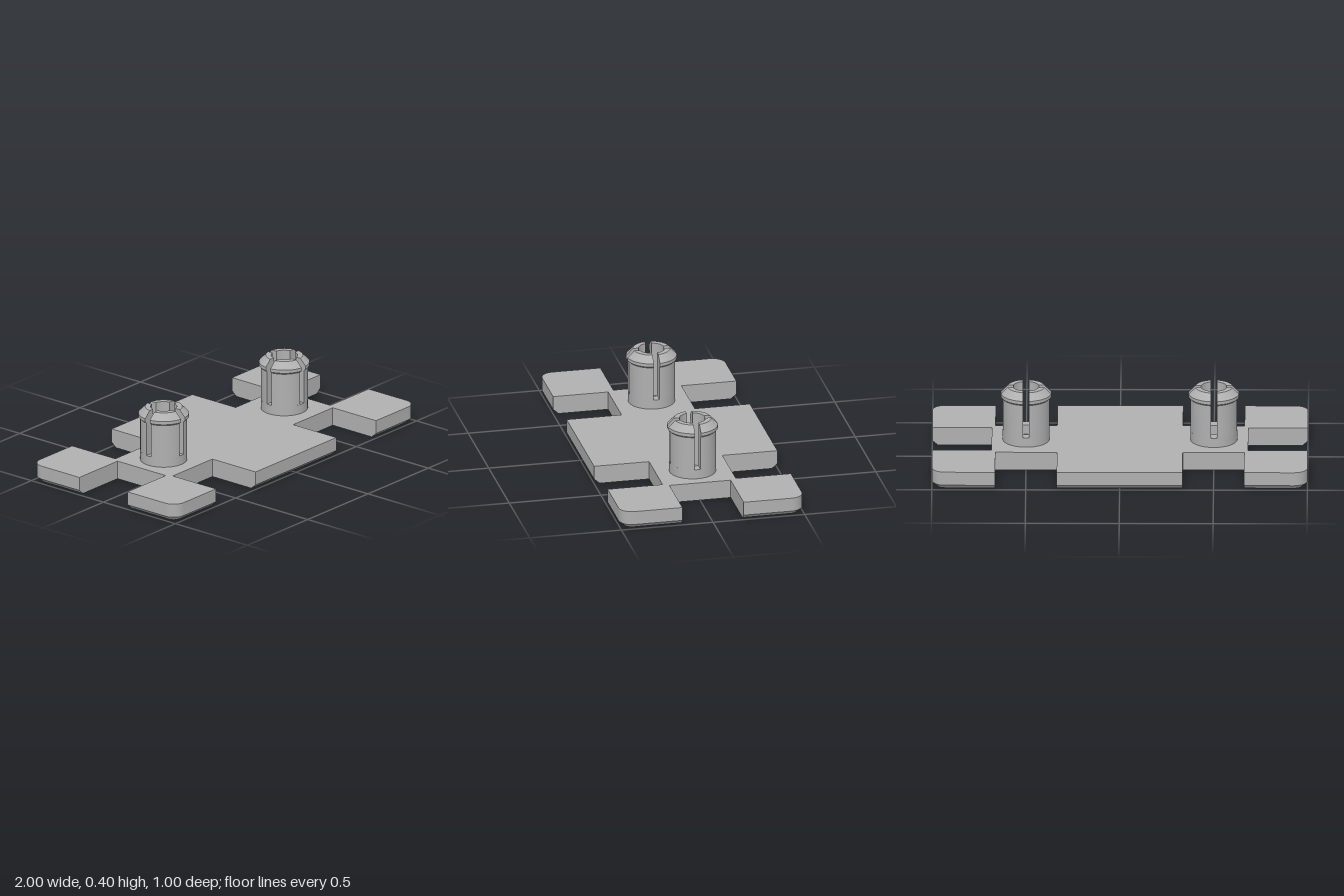
import * as THREE from 'three';
import { toCreasedNormals } from 'three/addons/utils/BufferGeometryUtils.js';

const grey = new THREE.MeshStandardMaterial({ color: 0xb0b0b0 });
grey.name = 'plainGrey';

function finish(positions, index, name) {
  const geometry = new THREE.BufferGeometry();
  geometry.setAttribute('position', new THREE.Float32BufferAttribute(positions, 3));
  geometry.setIndex(index);
  const mesh = new THREE.Mesh(toCreasedNormals(geometry, 0.4), grey);
  mesh.name = name;
  return mesh;
}

// Outline of the plate; only the outermost edges move in by the inset
function plateOutline(inset) {
  const radius = 0.07;
  const quarter = [[0.683, 0.167], [1 - inset, 0.167]];
  for (let i = 0; i <= 8; i++) {
    const a = (i / 8) * Math.PI / 2;
    quarter.push([
      1 - radius + (radius - inset) * Math.cos(a),
      0.5 - radius + (radius - inset) * Math.sin(a),
    ]);
  }
  quarter.push([0.663, 0.5 - inset], [0.663, 0.2], [0.335, 0.2], [0.335, 0.5 - inset]);
  const mirror = (sx, sz) => quarter.map(([x, z]) => [x * sx, z * sz]);
  return [...quarter, ...mirror(-1, 1).reverse(), ...mirror(-1, -1), ...mirror(1, -1).reverse()];
}

// Plate with a bevelled lower rim
function makePlate() {
  const rings = [[0.03, 0], [0, 0.026], [0, 0.1]];
  const positions = [], index = [];
  for (const [inset, y] of rings) {
    for (const [x, z] of plateOutline(inset)) positions.push(x, y, z);
  }
  const outline = plateOutline(0).map(([x, z]) => new THREE.Vector2(x, z));
  const n = outline.length;
  for (let j = 0; j < 2; j++) {
    for (let i = 0; i < n; i++) {
      const a = j * n + i, b = j * n + (i + 1) % n;
      index.push(a, a + n, b + n, a, b + n, b);
    }
  }
  for (const [a, b, c] of THREE.ShapeUtils.triangulateShape(outline, [])) {
    index.push(a, b, c, a + 2 * n, c + 2 * n, b + 2 * n);
  }
  return finish(positions, index, 'plate');
}

// Sweeps a closed (radius, height) profile, trimmed by half a slot at both ends
function sweep(profile, arc, steps, halfSlot, name) {
  const positions = [], index = [], n = profile.length;
  for (let i = 0; i <= steps; i++) {
    for (const [r, y] of profile) {
      const trim = Math.asin(halfSlot / r);
      const a = trim + (arc - 2 * trim) * i / steps;
      positions.push(r * Math.cos(a), y, r * Math.sin(a));
    }
  }
  for (let i = 0; i < steps; i++) {
    for (let j = 0; j < n; j++) {
      const a = i * n + j, b = i * n + (j + 1) % n;
      index.push(a, b, b + n, a, b + n, a + n);
    }
  }
  if (halfSlot > 0) {
    const contour = profile.map(([r, y]) => new THREE.Vector2(r, y));
    const end = steps * n;
    for (const [a, b, c] of THREE.ShapeUtils.triangulateShape(contour, [])) {
      index.push(a, c, b, a + end, b + end, c + end);
    }
  }
  return finish(positions, index, name);
}

// Hollow snap peg: a solid collar and four prongs with a bevelled lip
function makePeg(name) {
  const peg = new THREE.Group();
  peg.name = name;
  const collar = [[0.07, 0.1], [0.125, 0.1], [0.125, 0.152], [0.07, 0.152]];
  peg.add(sweep(collar, Math.PI * 2, 48, 0, 'pegCollar'));
  const prong = [
    [0.07, 0.152], [0.125, 0.152], [0.125, 0.337], [0.135, 0.346],
    [0.135, 0.364], [0.099, 0.4], [0.07, 0.4],
  ];
  for (let i = 0; i < 4; i++) {
    const mesh = sweep(prong, Math.PI / 2, 12, 0.016, 'pegProng');
    mesh.rotation.y = i * Math.PI / 2;
    peg.add(mesh);
  }
  return peg;
}

export function createModel() {
  const model = new THREE.Group();
  model.name = 'connectorPlate';
  model.add(makePlate());
  for (const [x, name] of [[0.5, 'leftPeg'], [-0.5, 'rightPeg']]) {
    const peg = makePeg(name);
    peg.position.x = x;
    model.add(peg);
  }
  return model;
}
